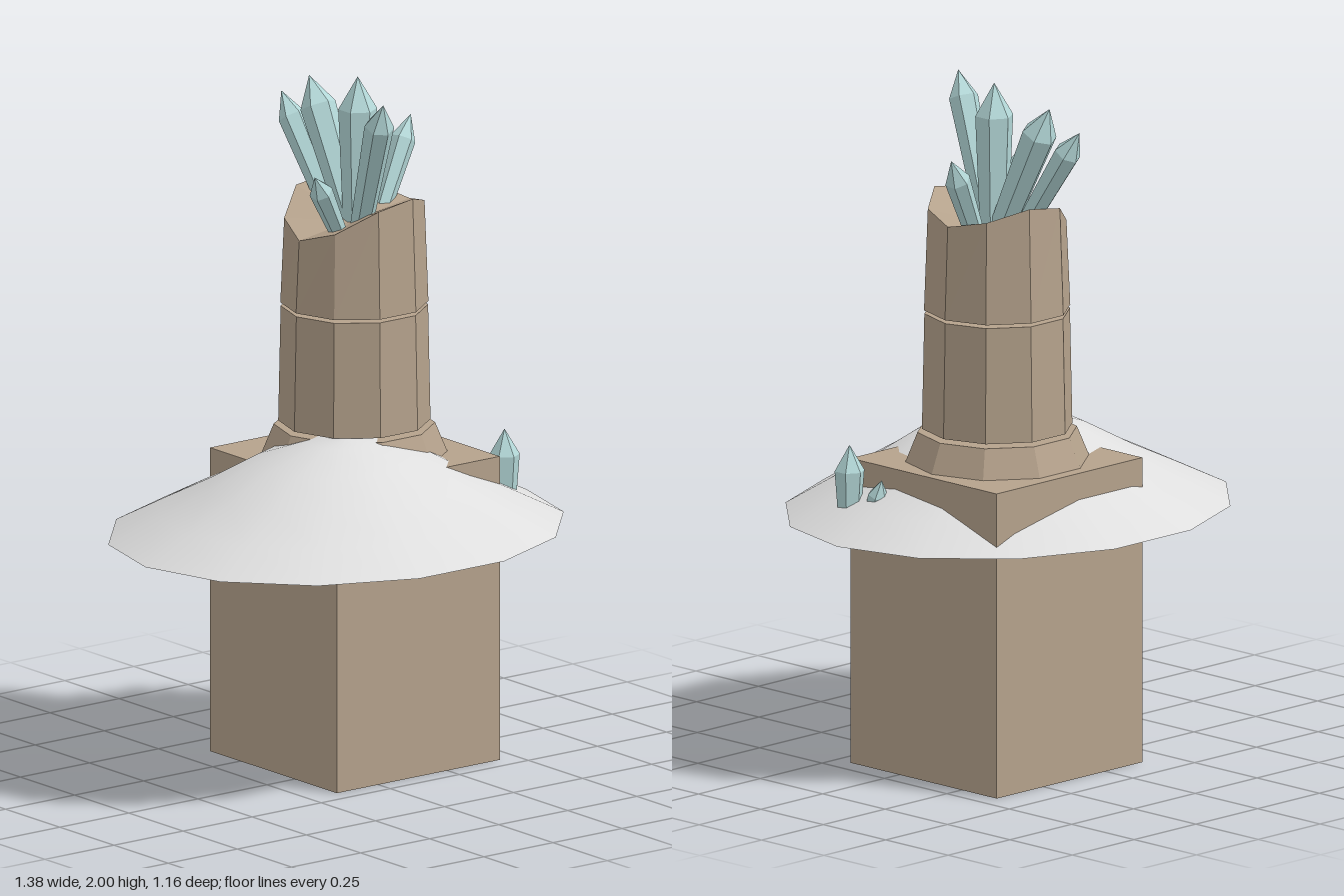
import * as THREE from 'three';

export function createModel() {
  const model = new THREE.Group();
  const mat = (name, color, flatShading) => {
    const m = new THREE.MeshStandardMaterial({ color, flatShading, side: THREE.DoubleSide });
    m.name = name;
    return m;
  };
  const rock = mat('brown rock', 0xb5a28c, true);
  const crystalBlue = mat('pale crystal', 0xb4d8d8, true);
  const snow = mat('light grey mound', 0xdedede, false);

  const add = (name, geometry, material) => {
    const mesh = new THREE.Mesh(geometry, material);
    mesh.name = name;
    model.add(mesh);
    return mesh;
  };

  // Base block, open underneath
  const block = new THREE.BoxGeometry(0.59, 0.895, 0.585);
  block.setIndex([...block.index.array].filter((_, i) => i < 18 || i >= 24));
  block.clearGroups();
  add('baseBlock', block, rock).position.set(0.145, 0.4475, -0.0975);

  // Smooth oval mound, an open shell with its summit nudged forward
  const profile = [[1, 0.715], [0.79, 0.786], [0.58, 0.855], [0.38, 0.93], [0.15, 0.98], [0, 0.99]]
    .map(([r, y]) => new THREE.Vector2(r, y));
  const mound = new THREE.LatheGeometry(profile, 14, Math.PI / 2);
  const mp = mound.attributes.position;
  for (let i = 0; i < mp.count; i++) {
    const r = Math.hypot(mp.getX(i), mp.getZ(i));
    mp.setZ(i, mp.getZ(i) + 0.07 * (1 - r));
  }
  mound.scale(0.69, 1, 0.595);
  add('mound', mound, snow);

  // Ten-sided column sections
  const section = (name, rTop, rBottom, y0, y1) => {
    const g = new THREE.CylinderGeometry(rTop, rBottom, y1 - y0, 10, 1, false, Math.PI / 2);
    g.translate(0, (y0 + y1) / 2, 0);
    add(name, g, rock).position.set(0.145, 0, -0.1);
    return g;
  };
  section('columnFoot', 0.23, 0.275, 0.87, 0.98);
  section('lowerColumn', 0.21, 0.217, 0.99, 1.328);
  const upper = section('upperColumn', 0.2, 0.211, 1.338, 1.62);

  // Broken, saddle-shaped top of the column
  const up = upper.attributes.position;
  for (let i = 0; i < up.count; i++) {
    if (up.getY(i) < 1.5) continue;
    const x = up.getX(i), z = up.getZ(i), r = Math.hypot(x, z);
    up.setY(i, r < 0.01 ? 1.58 : 1.58 + 0.09 * (z / r) ** 2 + 0.03 * (x / r));
  }

  // Hexagonal crystals: tapered shaft with a pointed tip, from base to tip
  const crystal = (name, base, tip, radius, point) => {
    const a = new THREE.Vector3(...base), dir = new THREE.Vector3(...tip).sub(a);
    const length = dir.length();
    const shaft = length - point;
    const profile = [[0, 0], [radius * 0.75, 0], [radius, shaft], [0, length]]
      .map(([r, y]) => new THREE.Vector2(r, y));
    const mesh = add(name, new THREE.LatheGeometry(profile, 6), crystalBlue);
    mesh.position.copy(a);
    mesh.quaternion.setFromUnitVectors(new THREE.Vector3(0, 1, 0), dir.normalize());
  };
  crystal('centreCrystal', [0.157, 1.57, -0.1], [0.157, 2, -0.1], 0.056, 0.095);
  crystal('frontCrystal', [0.13, 1.57, -0.05], [0.065, 1.98, 0.135], 0.043, 0.08);
  crystal('backCrystal', [0.155, 1.57, -0.125], [0.15, 1.96, -0.315], 0.052, 0.09);
  crystal('rearCrystal', [0.14, 1.57, -0.19], [0.12, 1.9, -0.405], 0.04, 0.08);
  crystal('leftCrystal', [0.265, 1.57, -0.135], [0.412, 1.83, -0.18], 0.037, 0.075);
  crystal('rightCrystal', [0.05, 1.57, -0.055], [-0.085, 1.765, 0.01], 0.034, 0.065);

  // Crystals growing through the mound
  crystal('moundCrystal', [0.5, 0.74, 0.14], [0.5, 0.955, 0.14], 0.044, 0.075);
  crystal('smallMoundCrystal', [0.47, 0.71, 0.09], [0.475, 0.865, 0.035], 0.03, 0.05);

  return model;
}
